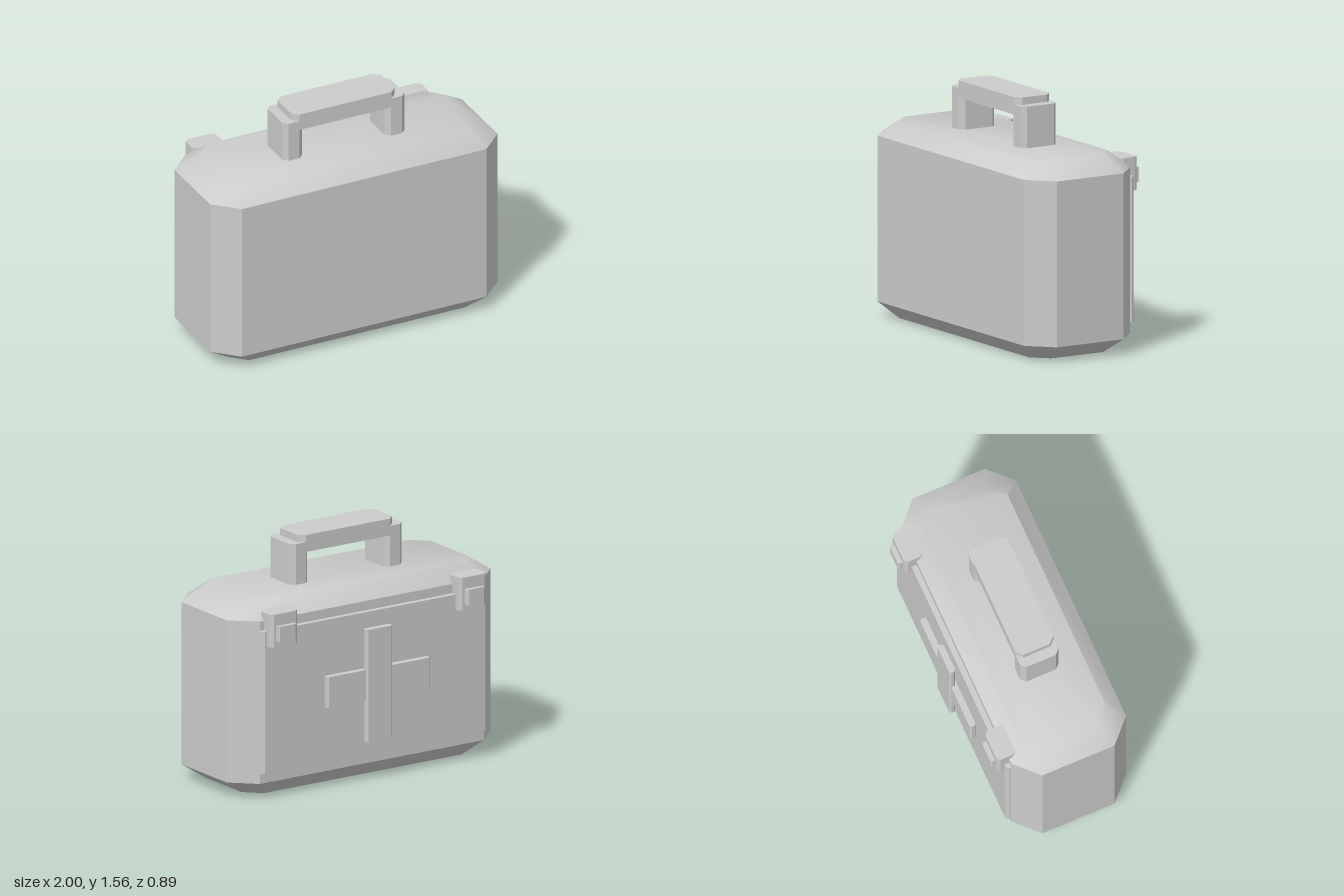
import * as THREE from 'three';
import { toCreasedNormals } from 'three/addons/utils/BufferGeometryUtils.js';

const shell = new THREE.MeshStandardMaterial({ color: 0xcccccc });
shell.name = 'plain grey';

function add(parent, geometry, name) {
  const mesh = new THREE.Mesh(geometry, shell);
  mesh.name = name;
  parent.add(mesh);
  return mesh;
}

// Upright block with its four vertical edges cut off by cx along x and cz along z
function chamferedBlock([x0, x1], [y0, y1], [z0, z1], cx, cz = cx) {
  const pts = [
    [x0 + cx, -z1], [x1 - cx, -z1], [x1, -z1 + cz], [x1, -z0 - cz],
    [x1 - cx, -z0], [x0 + cx, -z0], [x0, -z0 - cz], [x0, -z1 + cz],
  ];
  const shape = new THREE.Shape(pts.map(([x, y]) => new THREE.Vector2(x, y)));
  return new THREE.ExtrudeGeometry(shape, { depth: y1 - y0, bevelEnabled: false })
    .rotateX(-Math.PI / 2).translate(0, y0, 0);
}

// Eight-sided case lofted through rings, with closed ends
function caseGeometry() {
  const zMid = 0.055;
  const ring = (y, x, z, xFlat, zFlat) => [
    [x, -zFlat], [xFlat, -z], [-xFlat, -z], [-x, -zFlat],
    [-x, zFlat], [-xFlat, z], [xFlat, z], [x, zFlat],
  ].map(([px, pz]) => [px, y, pz + zMid]);
  const wide = [1, 0.39, 0.85, 0.245], narrow = [0.85, 0.29, 0.75, 0.19];
  const rings = [ring(0, ...narrow), ring(0.1, ...wide), ring(1.15, ...wide), ring(1.25, ...narrow)];
  const pos = [];
  const tri = (a, b, c) => pos.push(...a, ...b, ...c);
  for (let r = 0; r < 3; r++) {
    for (let i = 0; i < 8; i++) {
      const j = (i + 1) % 8, lo = rings[r], hi = rings[r + 1];
      tri(lo[i], lo[j], hi[j]);
      tri(lo[i], hi[j], hi[i]);
    }
  }
  for (let i = 1; i < 7; i++) {
    tri(rings[3][0], rings[3][i], rings[3][i + 1]);
    tri(rings[0][0], rings[0][i + 1], rings[0][i]);
  }
  const geo = new THREE.BufferGeometry();
  geo.setAttribute('position', new THREE.Float32BufferAttribute(pos, 3));
  return toCreasedNormals(geo, 0.65);
}

export function createModel() {
  const model = new THREE.Group();
  model.name = 'firstAidCase';
  add(model, caseGeometry(), 'caseBody');

  // Carrying handle
  const handle = new THREE.Group();
  handle.name = 'handle';
  model.add(handle);
  const depth = [-0.075, 0.185];
  add(handle, chamferedBlock([-0.36, 0.36], [1.45, 1.56], depth, 0.04, 0.04), 'handleGrip');
  add(handle, chamferedBlock([0.288, 0.425], [1.24, 1.513], depth, 0.03), 'leftHandlePost');
  add(handle, chamferedBlock([-0.425, -0.288], [1.24, 1.513], depth, 0.03), 'rightHandlePost');

  // Raised panel and cross on the back
  add(model, chamferedBlock([-0.855, 0.855], [0.17, 1.09], [-0.37, -0.32], 0.02), 'backPanel');
  const cross = new THREE.Group();
  cross.name = 'cross';
  model.add(cross);
  add(cross, chamferedBlock([-0.39, 0.39], [0.53, 0.73], [-0.412, -0.368], 0.012), 'crossBar');
  add(cross, chamferedBlock([-0.1, 0.1], [0.265, 0.99], [-0.422, -0.38], 0.012), 'crossUpright');

  // Two latches, each with a button
  for (const side of [-1, 1]) {
    const latch = new THREE.Group();
    latch.name = side > 0 ? 'leftLatch' : 'rightLatch';
    latch.position.x = side * 0.715;
    model.add(latch);
    add(latch, chamferedBlock([-0.105, 0.105], [0.992, 1.205], [-0.415, -0.285], 0.022), 'latchBlock');
    add(latch, chamferedBlock([-0.07, 0.07], [1.033, 1.13], [-0.445, -0.4], 0.012), 'latchButton');
  }
  return model;
}
